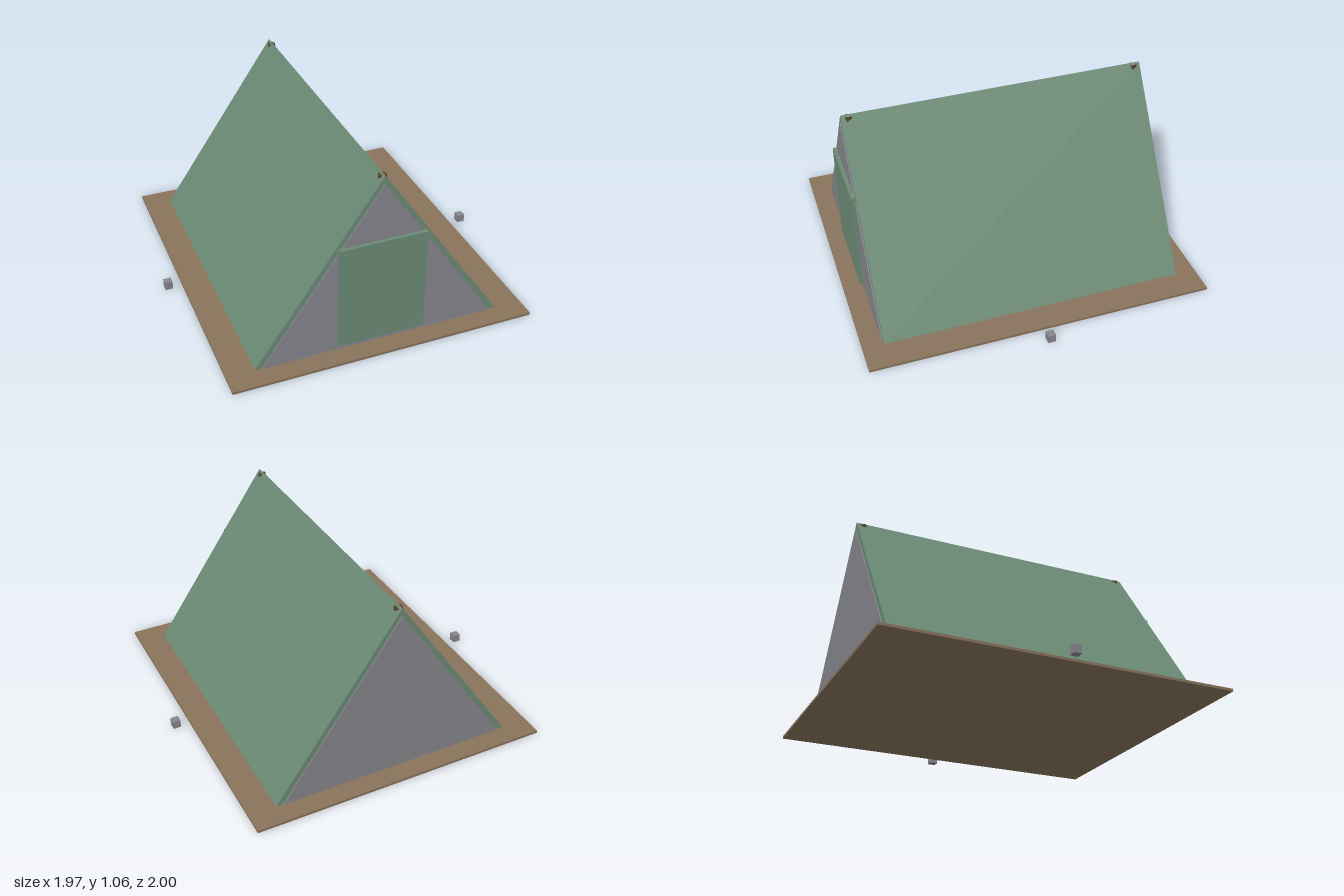
import * as THREE from 'three';

const mat = (name, color) => {
  const m = new THREE.MeshStandardMaterial({ color });
  m.name = name;
  return m;
};

export function createModel() {
  const canvas = mat('green canvas', 0x6b8a75);
  const grey = mat('grey', 0x85858c);
  const earth = mat('brown ground sheet', 0x89735c);
  const wood = mat('dark wood', 0x5c4433);

  const group = new THREE.Group();
  const add = (name, geometry, material, x = 0, y = 0, z = 0) => {
    const mesh = new THREE.Mesh(geometry, material);
    mesh.name = name;
    mesh.position.set(x, y, z);
    group.add(mesh);
    return mesh;
  };
  const box = (w, h, d) => new THREE.BoxGeometry(w, h, d);
  const extrude = (shape, depth) => {
    const g = new THREE.ExtrudeGeometry(shape, { depth, bevelEnabled: false });
    return g.translate(0, 0, -depth / 2);
  };
  const shapeOf = (pts) => new THREE.Shape(pts.map(([x, y]) => new THREE.Vector2(x, y)));

  const floor = 0.015;
  const inner = 0.68, innerTop = 1.01;

  // Ground sheet
  add('groundSheet', box(1.76, floor, 2), earth, 0, floor / 2, 0);

  // Roof: two sloping sheets joined at the ridge
  add('roof', extrude(shapeOf([
    [-0.72, floor], [-inner, floor], [0, innerTop],
    [inner, floor], [0.72, floor], [0, 1.057],
  ]), 1.76), canvas);

  // Triangular end walls, ridge poles and side pegs
  const wall = shapeOf([[-inner, floor], [inner, floor], [0, innerTop]]);
  for (const s of [1, -1]) {
    const end = s > 0 ? 'front' : 'back';
    add(end + 'Wall', extrude(wall, 0.016), grey, 0, 0, s * 0.878);
    add(end + 'Pole', new THREE.CylinderGeometry(0.025, 0.025, 1.045 - floor, 5), wood,
      0, (1.045 + floor) / 2, s * 0.84);
    add(s > 0 ? 'leftPeg' : 'rightPeg', box(0.045, 0.048, 0.045), grey, s * 0.96, 0.024, 0);
  }

  // Door flap
  add('doorFlap', box(0.5, 0.625, 0.025), canvas, 0, 0.3625, 0.8935);

  return group;
}
